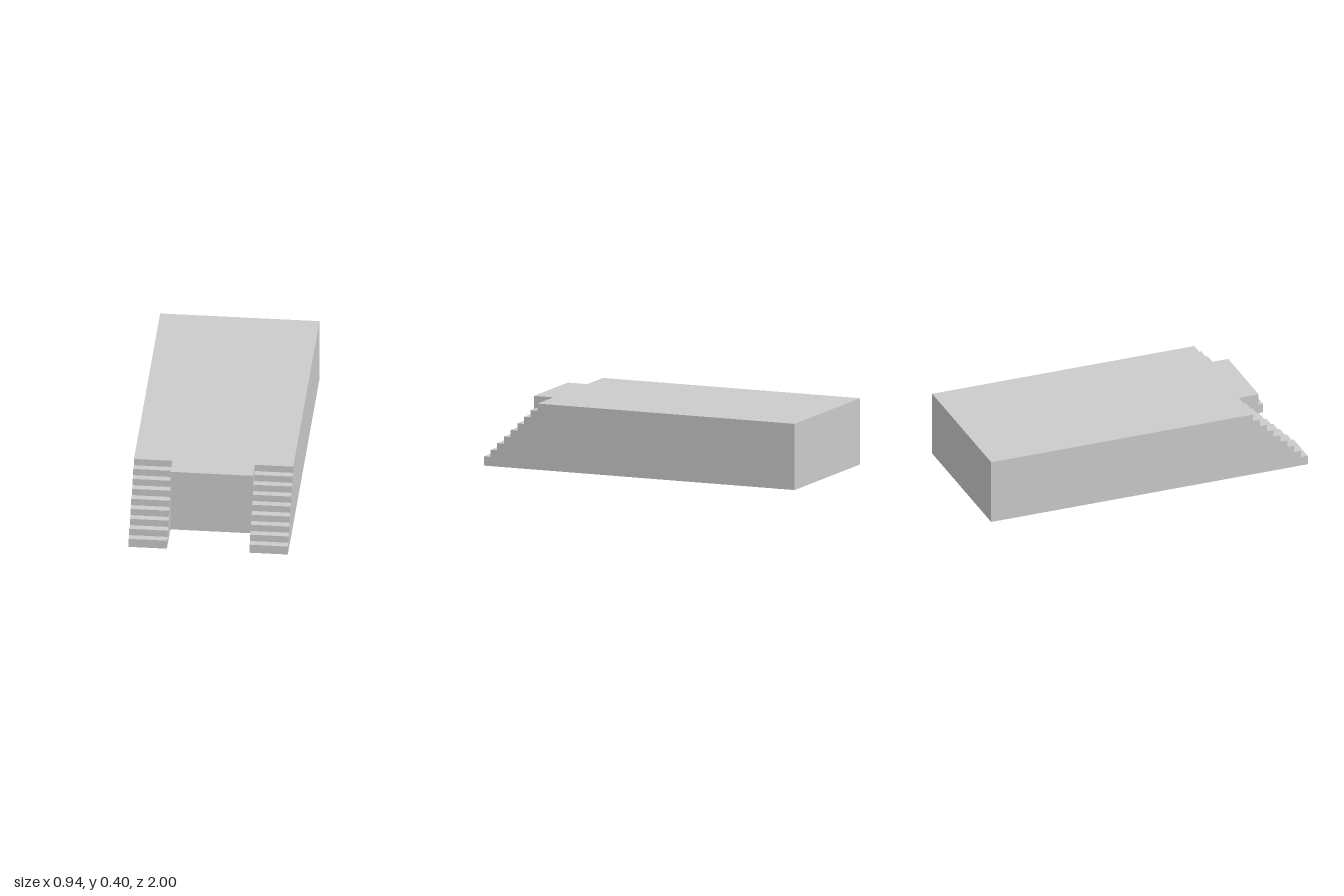
import * as THREE from 'three';

const HALF = 0.47, INNER = 0.243, HEIGHT = 0.395;
const BACK = -1, STAIR_TOP = 0.655, DECK_FRONT = 0.78, FRONT = 1;
const STEPS = 9;

export function createModel() {
  const group = new THREE.Group();
  const material = new THREE.MeshStandardMaterial({ color: 0xcccccc, flatShading: true });
  const add = (name, geometry) => {
    const mesh = new THREE.Mesh(geometry, material);
    mesh.name = name;
    group.add(mesh);
  };

  // Platform: plan outline with a narrower tongue between the stairs
  const plan = new THREE.Shape([
    [-HALF, BACK], [-HALF, STAIR_TOP], [-INNER, STAIR_TOP], [-INNER, DECK_FRONT],
    [INNER, DECK_FRONT], [INNER, STAIR_TOP], [HALF, STAIR_TOP], [HALF, BACK],
  ].map(([x, z]) => new THREE.Vector2(x, -z)));
  const platform = new THREE.ExtrudeGeometry(plan, { depth: HEIGHT, bevelEnabled: false });
  platform.rotateX(-Math.PI / 2);
  add('platform', platform);

  // Stairs: stepped side profile (z, y) swept across the flight width
  const tread = (FRONT - STAIR_TOP) / (STEPS - 1);
  const firstRise = 0.055, rise = (HEIGHT - firstRise) / (STEPS - 1);
  const profile = new THREE.Shape();
  profile.moveTo(STAIR_TOP, 0);
  profile.lineTo(FRONT, 0);
  for (let i = 0; i < STEPS - 1; i++) {
    const y = firstRise + rise * i;
    profile.lineTo(FRONT - tread * i, y);
    profile.lineTo(FRONT - tread * (i + 1), y);
  }
  profile.closePath();
  const width = HALF - INNER;
  for (const [name, xMax] of [['leftStairs', HALF], ['rightStairs', -INNER]]) {
    const stairs = new THREE.ExtrudeGeometry(profile, { depth: width, bevelEnabled: false });
    stairs.rotateY(-Math.PI / 2);
    stairs.translate(xMax, 0, 0);
    add(name, stairs);
  }
  return group;
}
